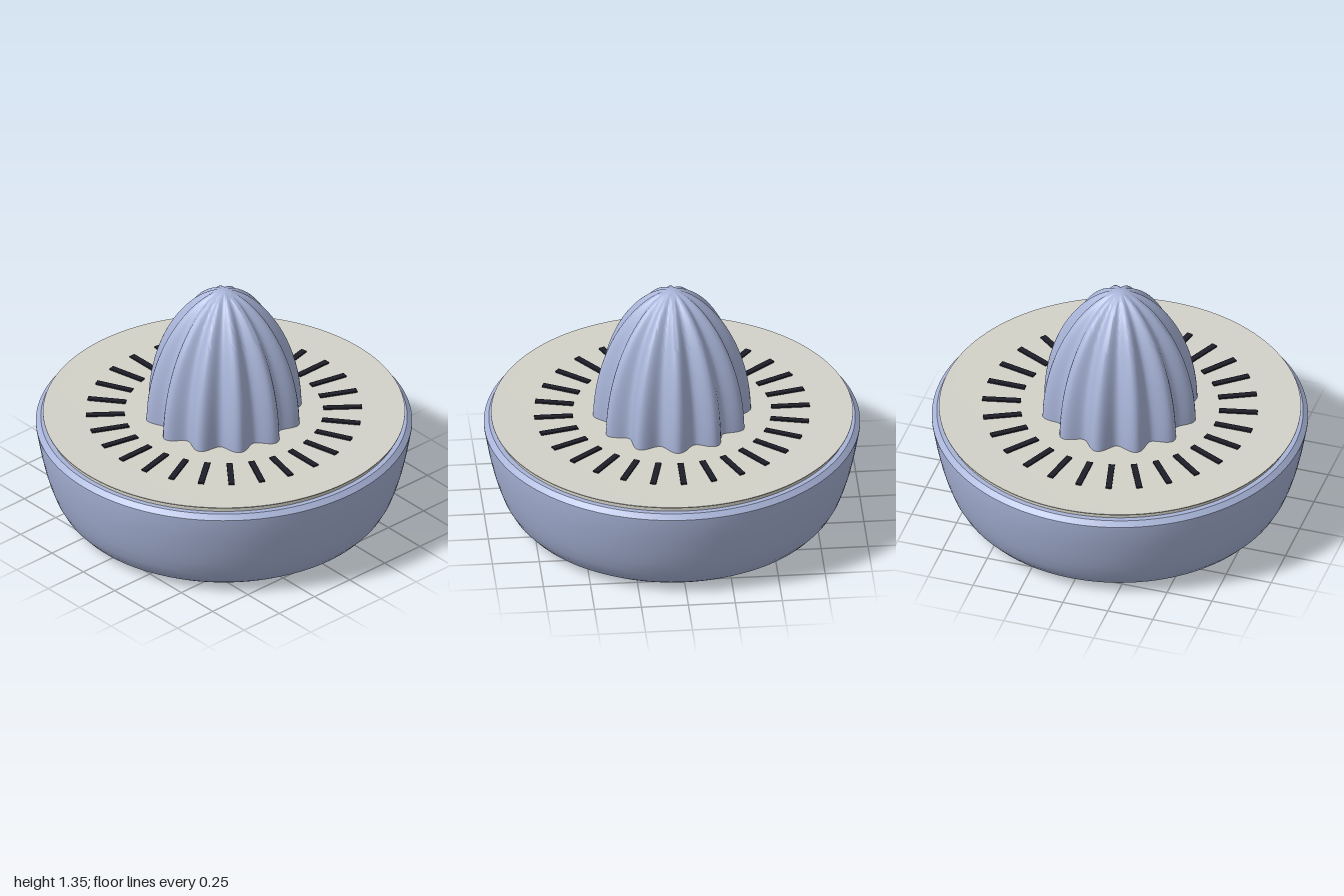
import * as THREE from 'three';
import { toCreasedNormals } from 'three/addons/utils/BufferGeometryUtils.js';

const blue = new THREE.MeshStandardMaterial({ color: 0xa8b4d8 });
blue.name = 'periwinkle plastic';
const cream = new THREE.MeshStandardMaterial({ color: 0xd3d2c9 });
cream.name = 'pale grey plastic';
const dark = new THREE.MeshStandardMaterial({ color: 0x1e1e28 });
dark.name = 'dark slot';

function lathe(profile, segments, crease) {
  const points = profile.map(([r, y]) => new THREE.Vector2(r, y));
  return toCreasedNormals(new THREE.LatheGeometry(points, segments), crease);
}

function addMesh(group, name, geometry, material) {
  const mesh = new THREE.Mesh(geometry, material);
  mesh.name = name;
  group.add(mesh);
  return mesh;
}

// Pointed dome with twelve rounded ridges
function reamerGeometry() {
  const base = 0.57, height = 0.78, rows = 36, ridges = 12;
  const points = [];
  for (let i = 0; i <= rows; i++) {
    const t = Math.sin((i / rows) * Math.PI / 2);
    const r = i === rows ? 0 : 0.42 * Math.pow(1 - t * t, 0.6);
    points.push(new THREE.Vector2(r, base + height * t));
  }
  const geometry = new THREE.LatheGeometry(points, ridges * 14);
  const p = geometry.attributes.position;
  for (let i = 0; i < p.count; i++) {
    const angle = Math.atan2(p.getZ(i), p.getX(i));
    const k = 0.92 + 0.08 * Math.cos(ridges * angle);
    p.setX(i, p.getX(i) * k);
    p.setZ(i, p.getZ(i) * k);
  }
  return toCreasedNormals(geometry, 1.0);
}

export function createModel() {
  const model = new THREE.Group();
  model.name = 'citrusJuicer';

  // Juice bowl with rounded foot and bevelled rim
  const bowl = [
    [0, 0], [0.7, 0], [0.76, 0.005], [0.8, 0.018], [0.84, 0.045], [0.875, 0.085],
    [0.905, 0.14], [0.93, 0.21], [0.953, 0.29], [0.975, 0.39], [0.998, 0.52],
    [0.998, 0.53], [0.972, 0.555], [0.9, 0.555],
  ];
  addMesh(model, 'bowl', lathe(bowl, 128, 0.5), blue);

  // Strainer plate with an overhanging lip
  const plate = [
    [0.9, 0.54], [0.945, 0.55], [0.945, 0.574], [0.96, 0.582], [0.96, 0.587], [0.9, 0.586], [0, 0.586],
  ];
  addMesh(model, 'strainerPlate', lathe(plate, 128, 0.5), cream);

  addMesh(model, 'reamer', reamerGeometry(), blue);

  // Ring of radial drain slots
  const slots = new THREE.Group();
  slots.name = 'drainSlots';
  const count = 28;
  const slotGeometry = new THREE.BoxGeometry(0.205, 0.009, 0.032);
  for (let i = 0; i < count; i++) {
    const a = (i / count) * Math.PI * 2;
    const slot = addMesh(slots, 'drainSlot', slotGeometry, dark);
    slot.position.set(0.63 * Math.cos(a), 0.5905, -0.63 * Math.sin(a));
    slot.rotation.y = a;
  }
  model.add(slots);

  return model;
}
